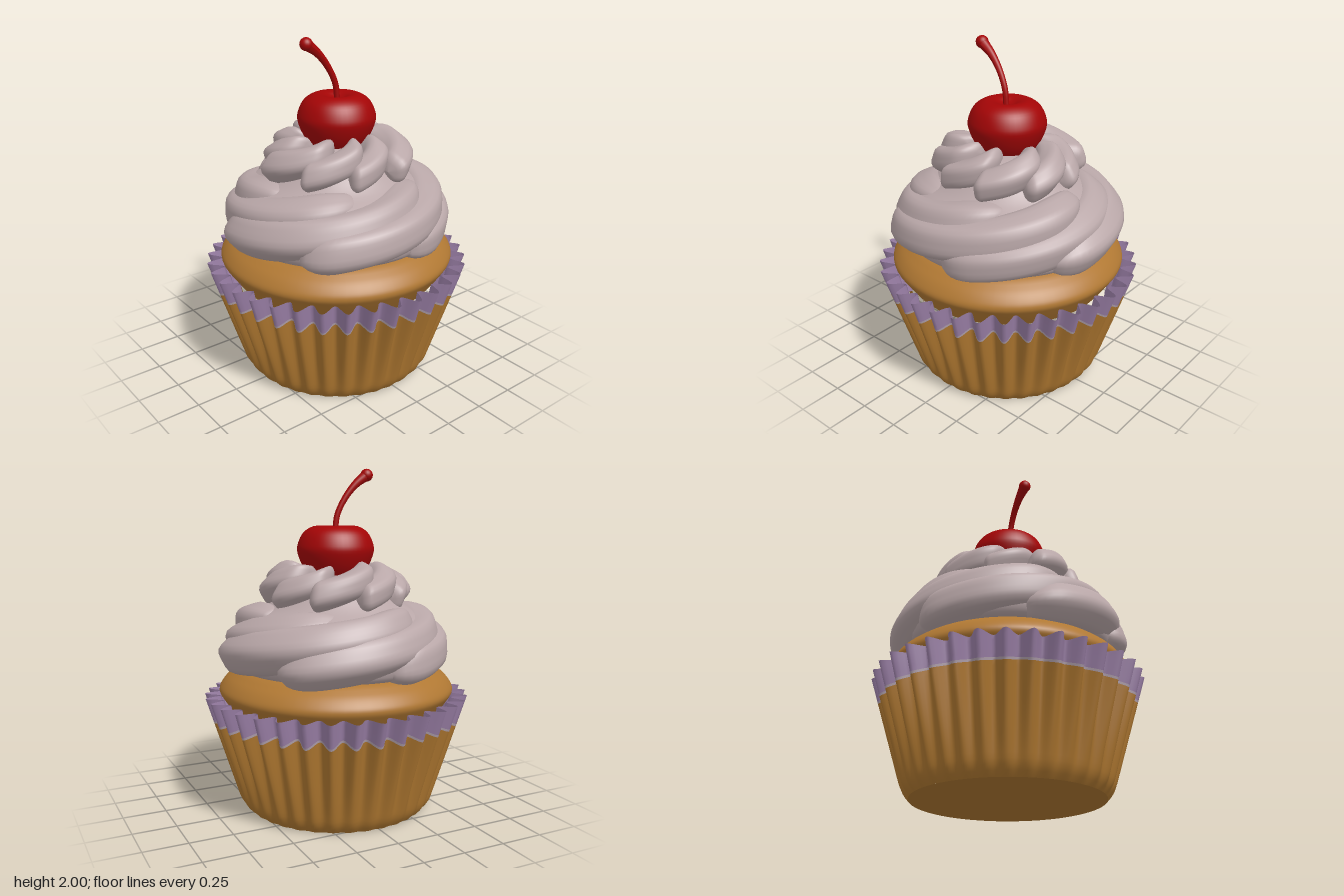
import * as THREE from 'three';

const mat = (name, color, side = THREE.FrontSide) => {
  const m = new THREE.MeshStandardMaterial({ color, side });
  m.name = name;
  return m;
};

// Smooth surface from a rule: u runs right, v runs up when seen from outside
function surface(nu, nv, fn, closeU, closeV) {
  const pos = [], idx = [];
  const cu = closeU ? nu : nu + 1, cv = closeV ? nv : nv + 1;
  for (let i = 0; i < cu; i++)
    for (let j = 0; j < cv; j++) pos.push(...fn(i / nu, j / nv));
  const at = (i, j) => (i % cu) * cv + (j % cv);
  for (let i = 0; i < nu; i++)
    for (let j = 0; j < nv; j++) {
      const a = at(i, j), b = at(i + 1, j), c = at(i + 1, j + 1), d = at(i, j + 1);
      idx.push(a, b, c, a, c, d);
    }
  const g = new THREE.BufferGeometry();
  g.setAttribute('position', new THREE.Float32BufferAttribute(pos, 3));
  g.setIndex(idx);
  g.computeVertexNormals();
  return g;
}

// Smooth lathe through a few profile points, bottom to top
function lathe(points, segments = 64) {
  const curve = new THREE.SplineCurve(points.map(p => new THREE.Vector2(...p)));
  const profile = curve.getPoints(36).map(p => new THREE.Vector2(Math.max(0, p.x), p.y));
  return new THREE.LatheGeometry(profile, segments);
}

// Piped strand: a ridged oval section swept round the axis with rounded ends
function strand({ start, sweep, r, y, wide, high, wobble }) {
  return surface(48, 26, (t, v) => {
    const a = start + sweep * t, p = v * Math.PI * 2;
    const e = Math.min(1, t / 0.13), f = Math.min(1, (1 - t) / 0.25);
    const taper = Math.max(0.003, Math.sqrt(1 - (1 - e) ** 2) * Math.sqrt(1 - (1 - f) ** 2));
    const ripple = 1 + 0.04 * Math.sin(t * 7 + wobble) + 0.05 * Math.cos(5 * p + wobble + 2 * t);
    const R = r(t) + wide * taper * ripple * Math.cos(p);
    return [R * Math.sin(a), y(t) + high * taper * ripple * Math.sin(p), R * Math.cos(a)];
  }, false, true);
}

export function createModel() {
  const model = new THREE.Group();
  model.name = 'cupcake';
  const cakeMat = mat('golden cake', 0xb07833);
  const cupMat = mat('golden paper', 0xae7730);
  const trimMat = mat('pale trim', 0xb0a0ac, THREE.DoubleSide);
  const rimMat = mat('lavender paper', 0x9a7fa6, THREE.DoubleSide);
  const creamMat = mat('mauve cream', 0xb9a7a8);
  const cherryMat = mat('cherry red', 0xa30506);

  const add = (name, geometry, material, parent = model) => {
    const m = new THREE.Mesh(geometry, material);
    m.name = name;
    parent.add(m);
    return m;
  };

  // Pleated paper cup in colour bands; the band edges dip on each ridge
  const PLEATS = 35;
  const ridgeAt = a => 0.5 + 0.5 * Math.cos((a - Math.PI) * PLEATS);
  const cupBand = (low, high, rows, inset = 0) => surface(PLEATS * 10, rows, (u, v) => {
    const a = u * Math.PI * 2, ridge = ridgeAt(a);
    const y = low(ridge) + (high(ridge) - low(ridge)) * v;
    const foot = 0.028 * Math.max(0, 1 - y / 0.08) ** 2;
    const R = 0.57 + 0.316 * y - foot - (0.008 + 0.125 * y) * (1 - ridge) - inset;
    return [R * Math.sin(a), y, R * Math.cos(a)];
  }, true, false);
  const level = y => () => y;
  const trimLow = ridge => 0.556 - 0.028 * ridge;
  const trimHigh = ridge => trimLow(ridge) + 0.013;
  add('cupWall', cupBand(level(0), trimLow, 20), cupMat);
  add('cupTrim', cupBand(trimLow, trimHigh, 1), trimMat);
  add('cupRim', cupBand(trimHigh, level(0.68), 5), rimMat);
  add('cupLining', cupBand(level(0.36), level(0.677), 8, 0.005), rimMat);
  add('cupBase', new THREE.CircleGeometry(0.542, 64).rotateX(Math.PI / 2), cupMat);

  // Cake crown bulging out of the cup
  add('cake', lathe([[0.6, 0.56], [0.67, 0.66], [0.697, 0.71], [0.68, 0.755],
    [0.63, 0.805], [0.54, 0.85], [0.3, 0.89], [0, 0.9]]), cakeMat);

  // Frosting: a hidden core, a broad lower swirl and a tighter upper swirl
  const frosting = new THREE.Group();
  frosting.name = 'frosting';
  model.add(frosting);
  add('frostingCore', lathe([[0.5, 0.82], [0.6, 0.86], [0.62, 0.98], [0.57, 1.11],
    [0.42, 1.2], [0.32, 1.29], [0.22, 1.38], [0, 1.4]]), creamMat, frosting);

  const LOWER = 6, UPPER = 9;
  for (let i = 0; i < LOWER; i++) {
    const k = 0.01 * Math.sin(i * 2.4);
    add('lowerSwirl', strand({
      start: -0.5 + i * Math.PI * 2 / LOWER, sweep: 2.8,
      r: t => 0.568 + k - 0.17 * t * t,
      y: t => 0.905 + k + 0.235 * t,
      wide: 0.128, high: 0.122, wobble: i * 1.7,
    }), creamMat, frosting);
  }
  for (let i = 0; i < UPPER; i++) {
    const k = 0.02 * Math.sin(i * 2.1 + 1);
    add('upperSwirl', strand({
      start: -0.3 + i * Math.PI * 2 / UPPER, sweep: 1.1 + 4 * k,
      r: t => 0.355 + k - 0.15 * t * t,
      y: t => 1.265 + k * 0.5 + 0.13 * t,
      wide: 0.1, high: 0.09, wobble: i * 1.3,
    }), creamMat, frosting);
  }

  // Cherry with a dimpled top
  add('cherry', lathe([[0, 1.3], [0.1, 1.33], [0.18, 1.41], [0.224, 1.51], [0.22, 1.57],
    [0.187, 1.632], [0.13, 1.666], [0.08, 1.663], [0.04, 1.645], [0, 1.635]], 48), cherryMat)
    .position.x = 0.005;

  // Curved stem, thickening into a rounded tip
  const path = new THREE.CatmullRomCurve3([[0.012, 1.62, 0], [0.01, 1.73, 0.014], [0.002, 1.83, 0.062],
    [-0.005, 1.91, 0.128], [-0.01, 1.964, 0.2]].map(p => new THREE.Vector3(...p)));
  const SEG = 30, SIDES = 12;
  const stem = new THREE.TubeGeometry(path, SEG, 0.018, SIDES);
  const p = stem.attributes.position, v = new THREE.Vector3();
  for (let i = 0; i < p.count; i++) {
    const t = Math.floor(i / (SIDES + 1)) / SEG, c = path.getPointAt(t);
    v.fromBufferAttribute(p, i).sub(c).multiplyScalar(0.95 + 1.0 * t ** 4).add(c);
    p.setXYZ(i, v.x, v.y, v.z);
  }
  stem.computeVertexNormals();
  add('stem', stem, cherryMat);
  const tip = add('stemTip', new THREE.SphereGeometry(0.037, 20, 14), cherryMat);
  tip.position.set(-0.01, 1.963, 0.198);

  return model;
}
